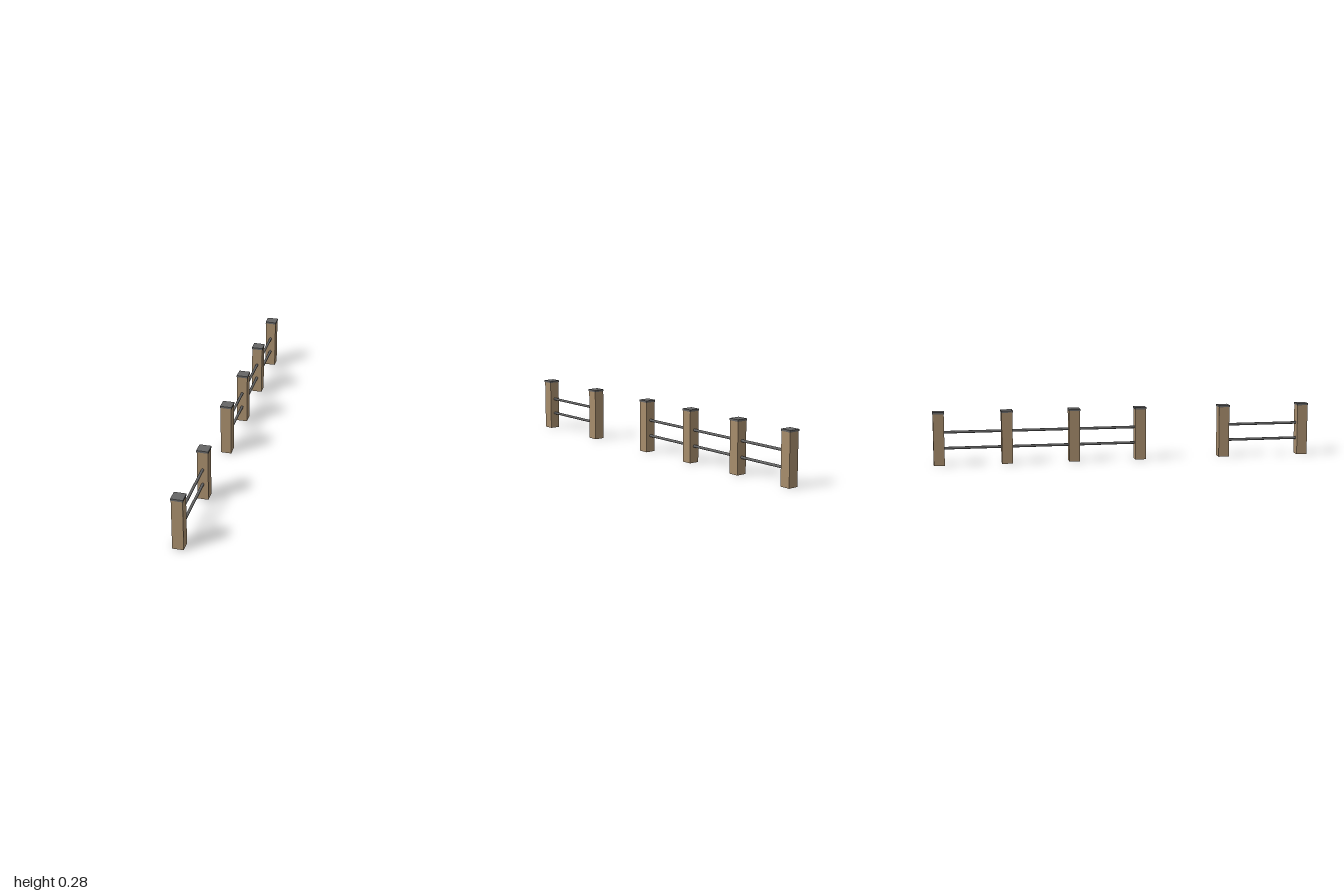
import * as THREE from 'three';

export function createModel() {
  const model = new THREE.Group();
  model.name = 'fence';

  const wood = new THREE.MeshStandardMaterial({ color: 0xa68c6c });
  wood.name = 'wood';
  const metal = new THREE.MeshStandardMaterial({ color: 0x666666 });
  metal.name = 'grey metal';

  const postWidth = 0.056, postHeight = 0.267;
  const capWidth = 0.06, capHeight = 0.01;
  const railRadius = 0.007;
  const railHeights = [0.087, 0.17];

  // Two runs of posts with a gateway between them
  const runs = [
    [0.97, 0.535],
    [0.082, -0.269, -0.62, -0.97],
  ];

  const postGeometry = new THREE.BoxGeometry(postWidth, postHeight, postWidth);
  const capGeometry = new THREE.BoxGeometry(capWidth, capHeight, capWidth);

  function add(name, geometry, material, y, z) {
    const mesh = new THREE.Mesh(geometry, material);
    mesh.name = name;
    mesh.position.set(0, y, z);
    model.add(mesh);
  }

  for (const run of runs) {
    run.forEach((z, i) => {
      // Square post with a thin overhanging cap
      add('post', postGeometry, wood, postHeight / 2, z);
      add('postCap', capGeometry, metal, postHeight + capHeight / 2, z);

      // Pair of round rails to the next post
      if (i + 1 < run.length) {
        const next = run[i + 1];
        const rail = new THREE.CylinderGeometry(railRadius, railRadius, z - next - postWidth + 0.004, 12);
        rail.rotateX(Math.PI / 2);
        for (const y of railHeights) add('rail', rail, metal, y, (z + next) / 2);
      }
    });
  }

  return model;
}
